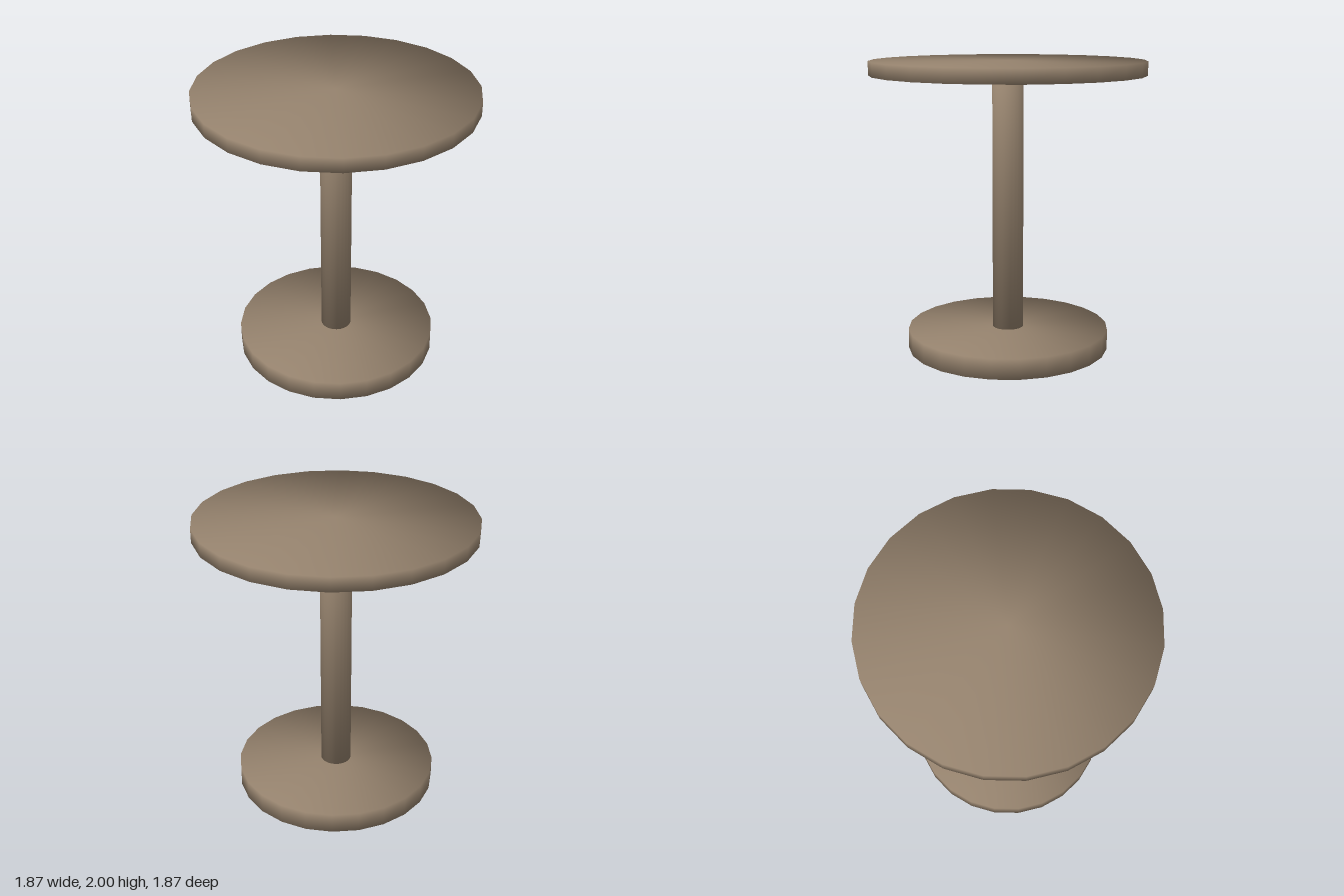
import * as THREE from 'three';
import { mergeVertices } from 'three/addons/utils/BufferGeometryUtils.js';

const SIDES = 24;
const material = new THREE.MeshStandardMaterial({ color: 0x96836e });

// Closed round part whose normals blend softly over the rim
function disc(name, radius, bottom, top) {
  const height = top - bottom;
  let geometry = new THREE.CylinderGeometry(radius, radius, height, SIDES);
  geometry.deleteAttribute('normal');
  geometry.deleteAttribute('uv');
  geometry = mergeVertices(geometry, 1e-4);

  // Rim normals lean outward, cap centres point straight up or down
  const position = geometry.attributes.position;
  const normals = new Float32Array(position.count * 3);
  const n = new THREE.Vector3();
  for (let i = 0; i < position.count; i++) {
    n.set(position.getX(i) / radius * 1.5, Math.sign(position.getY(i)), position.getZ(i) / radius * 1.5);
    n.normalize().toArray(normals, i * 3);
  }
  geometry.setAttribute('normal', new THREE.BufferAttribute(normals, 3));

  const mesh = new THREE.Mesh(geometry, material);
  mesh.name = name;
  mesh.position.y = (bottom + top) / 2;
  return mesh;
}

export function createModel() {
  const table = new THREE.Group();
  table.name = 'pedestalTable';
  table.add(
    disc('base', 0.7, 0, 0.14),
    disc('column', 0.107, 0.14, 1.905),
    disc('tableTop', 0.935, 1.905, 2),
  );
  return table;
}
